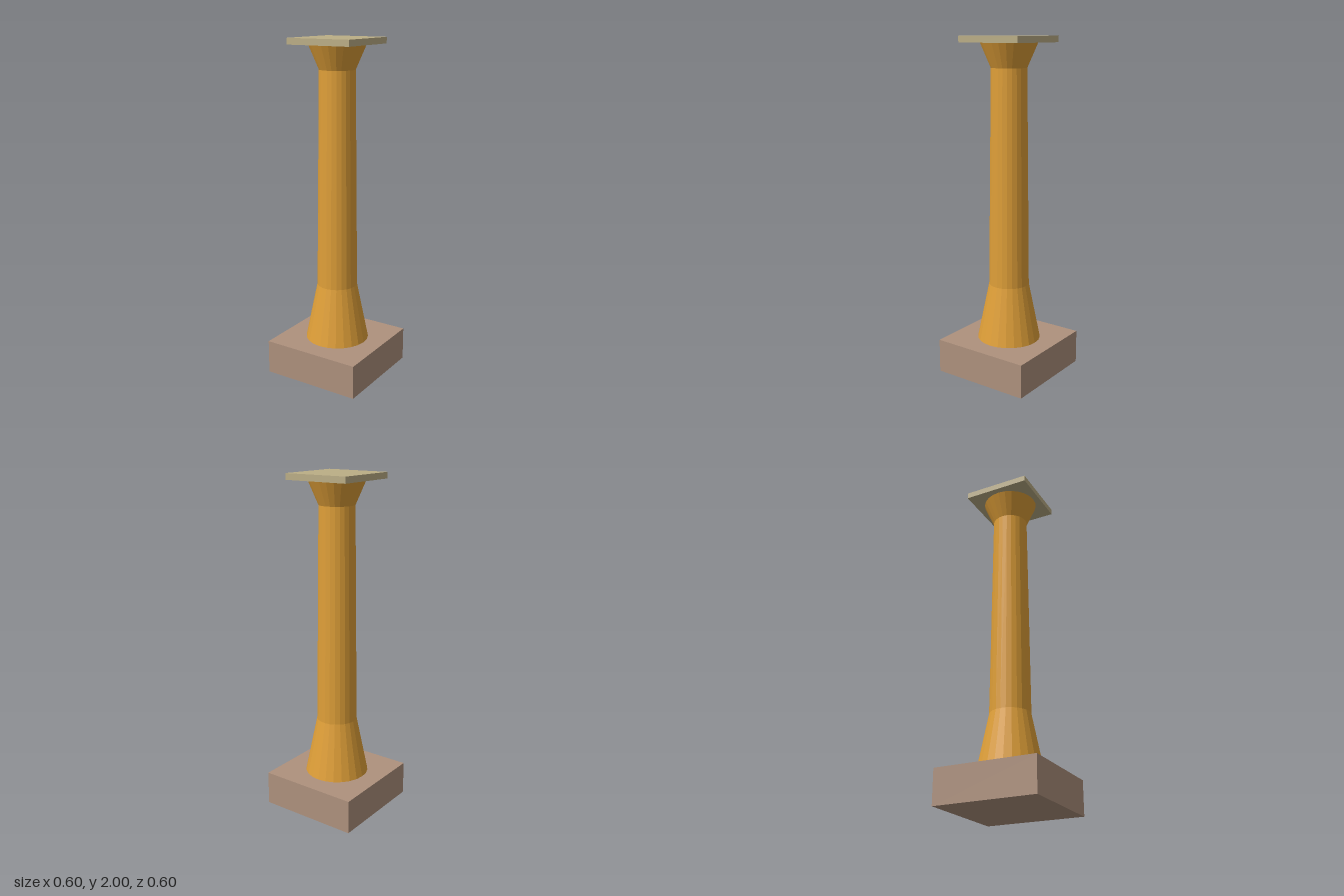
import * as THREE from 'three';

const SIDES = 24;

export function createModel() {
  const model = new THREE.Group();
  model.name = 'column';

  const stone = new THREE.MeshStandardMaterial({ color: 0xae917d });
  stone.name = 'brown stone';
  const ochre = new THREE.MeshStandardMaterial({ color: 0xdf9f38, flatShading: true });
  ochre.name = 'ochre';
  const sand = new THREE.MeshStandardMaterial({ color: 0xbbae86 });
  sand.name = 'sand';

  // Square slab standing between two heights
  function slab(name, width, bottom, top, material) {
    const mesh = new THREE.Mesh(new THREE.BoxGeometry(width, top - bottom, width), material);
    mesh.position.y = (bottom + top) / 2;
    mesh.name = name;
    model.add(mesh);
  }

  // Tapered round section between two heights
  function taper(name, rBottom, rTop, bottom, top) {
    const geometry = new THREE.CylinderGeometry(rTop, rBottom, top - bottom, SIDES);
    const mesh = new THREE.Mesh(geometry, ochre);
    mesh.position.y = (bottom + top) / 2;
    mesh.name = name;
    model.add(mesh);
  }

  slab('plinth', 0.604, 0, 0.203, stone);
  taper('flaredFoot', 0.19, 0.12, 0.203, 0.547);
  taper('shaft', 0.12, 0.104, 0.547, 1.825);
  taper('flaredCapital', 0.104, 0.164, 1.825, 1.964);
  slab('topSlab', 0.402, 1.964, 2, sand);

  return model;
}
